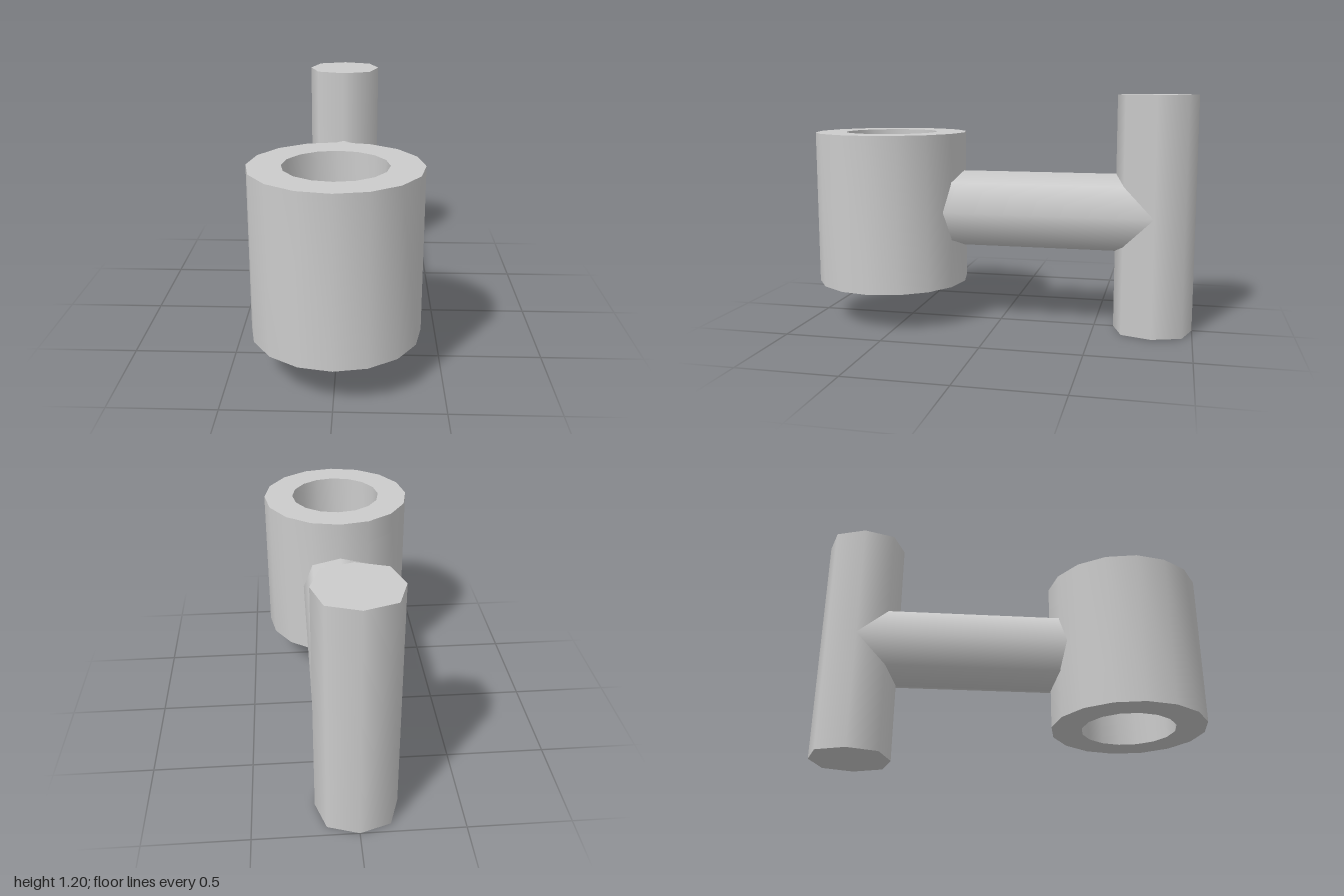
import * as THREE from 'three';
import { toCreasedNormals } from 'three/addons/utils/BufferGeometryUtils.js';

const material = new THREE.MeshStandardMaterial({ color: 0xcccccc });

// Eight-sided bar whose diagonal corners bulge out slightly
function barGeometry(radius, diagonal, length) {
  const geometry = new THREE.CylinderGeometry(radius, radius, length, 8);
  const p = geometry.attributes.position;
  for (let i = 0; i < p.count; i++) {
    const x = p.getX(i), z = p.getZ(i);
    if (Math.abs(x) > 0.01 && Math.abs(z) > 0.01) {
      p.setX(i, Math.sign(x) * diagonal);
      p.setZ(i, Math.sign(z) * diagonal);
    }
  }
  return geometry;
}

function addPart(group, name, geometry, y, z) {
  const mesh = new THREE.Mesh(geometry, material);
  mesh.name = name;
  mesh.position.set(0, y, z);
  group.add(mesh);
  return mesh;
}

export function createModel() {
  const group = new THREE.Group();
  group.name = 'sleeveWithHandle';

  // Hollow sleeve, open from top to bottom
  const outer = 0.4, inner = 0.243, half = 0.4;
  const profile = [
    [outer, -half], [outer, half], [inner, half], [inner, -half], [outer, -half],
  ].map(([r, y]) => new THREE.Vector2(r, y));
  const sleeve = toCreasedNormals(new THREE.LatheGeometry(profile, 16), Math.PI / 3);
  addPart(group, 'sleeve', sleeve, 0.6, 0.6);

  // Upright grip at the back
  addPart(group, 'grip', barGeometry(0.2, 0.15, 1.2), 0.6, -0.8);

  // Horizontal arm from the middle of the grip into the sleeve wall
  const arm = addPart(group, 'arm', barGeometry(0.2, 0.15, 1.2), 0.6, -0.2);
  arm.rotation.x = Math.PI / 2;

  return group;
}
